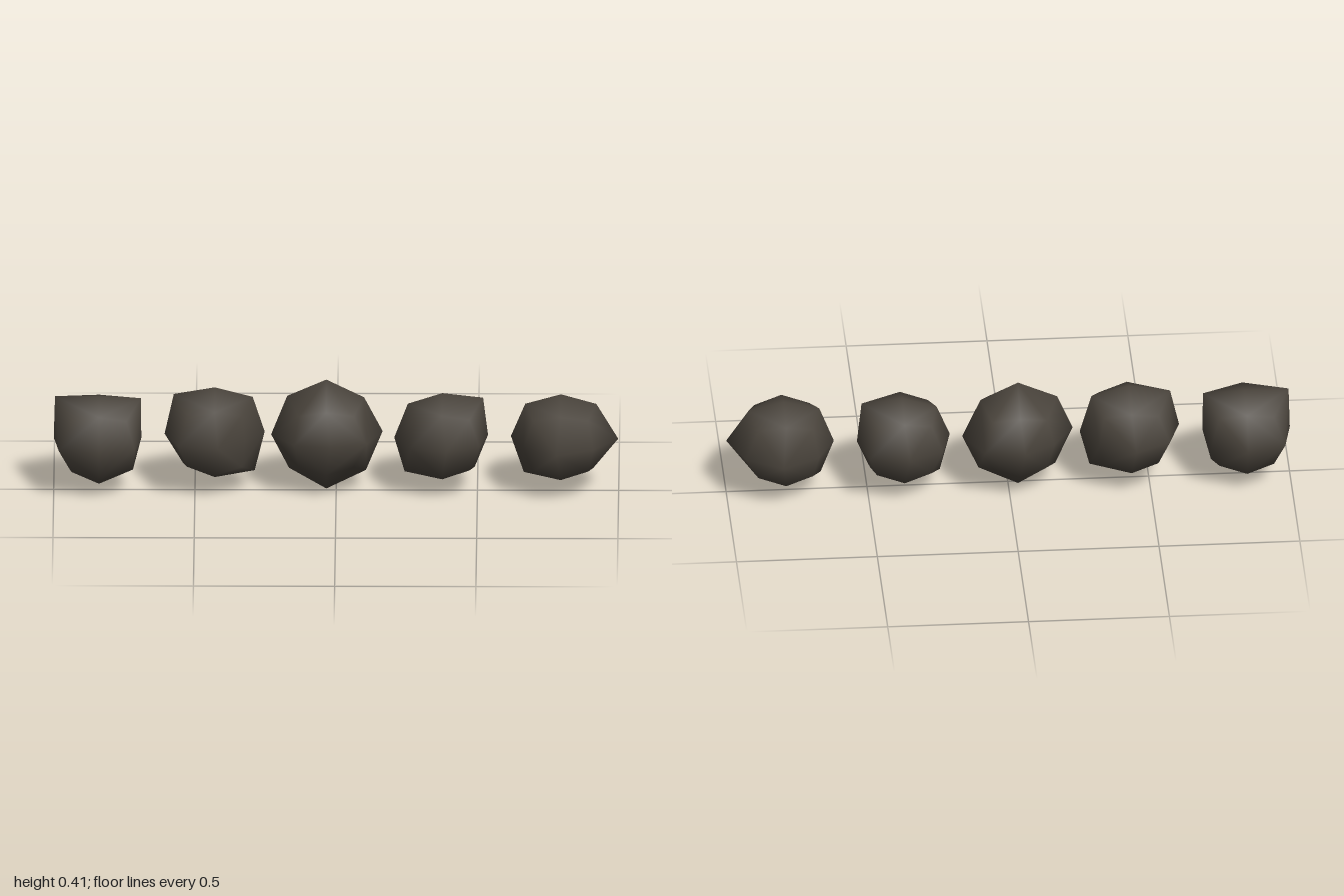
import * as THREE from 'three';
import { ConvexGeometry } from 'three/addons/geometries/ConvexGeometry.js';
import { mergeVertices } from 'three/addons/utils/BufferGeometryUtils.js';

const rad = THREE.MathUtils.degToRad;

// Wraps the corners in a closed skin with smooth shading
function rockGeometry(turn, waist, caps) {
  const points = [];
  // waist corners, every 45 degrees around the upright axis
  waist.forEach((r, i) => {
    const a = rad(i * 45 + turn);
    points.push(new THREE.Vector3(r * Math.cos(a), 0, r * Math.sin(a)));
  });
  // three upper and three lower corners in the frontal plane
  caps.forEach((r, i) => {
    const a = rad(i < 3 ? 45 + i * 45 : 90 + i * 45);
    points.push(new THREE.Vector3(r * Math.cos(a), r * Math.sin(a), 0));
  });
  // rounded shoulders between the waist and the caps
  for (const sy of [-1, 1]) {
    for (const sz of [-1, 1]) {
      points.push(new THREE.Vector3(0, sy * 0.118, sz * 0.12));
      for (const sx of [-1, 1]) {
        points.push(new THREE.Vector3(sx * 0.097, sy * 0.095, sz * 0.095));
      }
    }
  }
  const skin = new ConvexGeometry(points);
  skin.deleteAttribute('normal');
  const geometry = mergeVertices(skin, 1e-4);
  geometry.computeVertexNormals();
  return geometry;
}

export function createModel() {
  const group = new THREE.Group();
  group.name = 'rockRow';
  const stone = new THREE.MeshStandardMaterial({ color: 0x4a443c });
  stone.name = 'dark stone';

  // Places one rock, shaped by the radii of its corners
  function addRock(name, centre, turn, waist, caps) {
    const mesh = new THREE.Mesh(rockGeometry(turn, waist, caps), stone);
    mesh.name = name;
    mesh.position.set(...centre);
    group.add(mesh);
  }

  addRock('farRightRock', [-0.84, 0.19, -0.015], 0,
    [0.15, 0.18, 0.17, 0.2, 0.16, 0.19, 0.175, 0.18], [0.21, 0.155, 0.22, 0.155, 0.174, 0.17]);
  addRock('rightRock', [-0.43, 0.21, -0.015], -4,
    [0.177, 0.142, 0.176, 0.196, 0.178, 0.18, 0.184, 0.175], [0.19, 0.17, 0.205, 0.16, 0.168, 0.2]);
  addRock('middleRock', [-0.035, 0.21, -0.015], -5,
    [0.2, 0.187, 0.16, 0.177, 0.196, 0.16, 0.17, 0.198], [0.189, 0.2, 0.196, 0.187, 0.21, 0.198]);
  addRock('leftRock', [0.375, 0.2, -0.01], -5,
    [0.163, 0.173, 0.174, 0.175, 0.17, 0.177, 0.171, 0.195], [0.205, 0.16, 0.172, 0.188, 0.163, 0.163]);
  addRock('farLeftRock', [0.795, 0.2, 0], 4,
    [0.204, 0.177, 0.198, 0.175, 0.177, 0.176, 0.203, 0.192], [0.178, 0.157, 0.178, 0.185, 0.157, 0.163]);

  return group;
}
